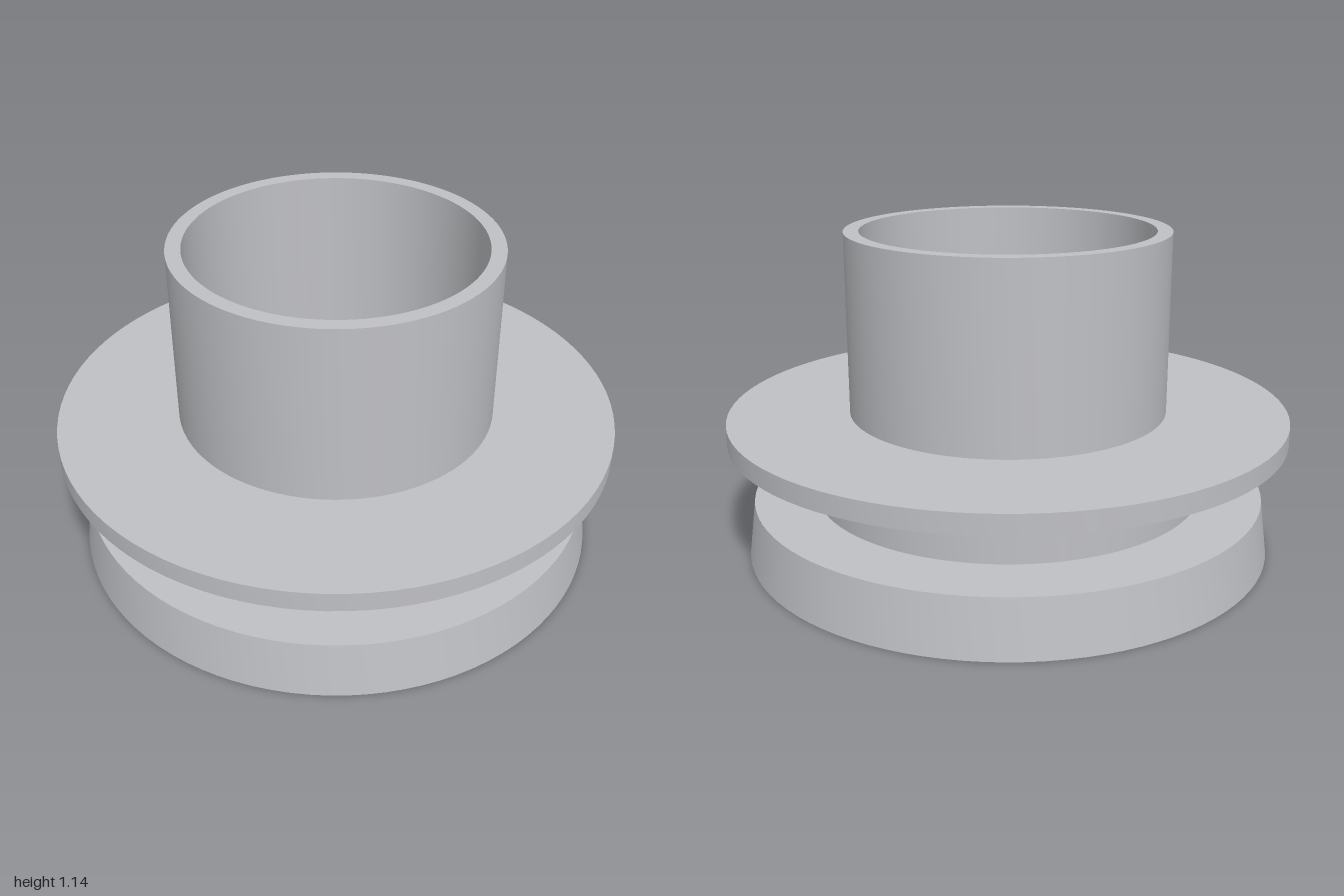
import * as THREE from 'three';
import { toCreasedNormals } from 'three/addons/utils/BufferGeometryUtils.js';

const SEGMENTS = 96;

// Revolves [radius, height] points, keeping the profile corners sharp
function turned(name, points, material) {
  const profile = points.map(([r, y]) => new THREE.Vector2(r, y));
  const geometry = toCreasedNormals(new THREE.LatheGeometry(profile, SEGMENTS), 0.6);
  const mesh = new THREE.Mesh(geometry, material);
  mesh.name = name;
  return mesh;
}

export function createModel() {
  const grey = new THREE.MeshStandardMaterial({ color: 0xbfc0c4 });
  grey.name = 'bodyGrey';
  const red = new THREE.MeshStandardMaterial({ color: 0xc67676 });
  red.name = 'padRed';

  const group = new THREE.Group();
  group.name = 'flangedSocket';
  group.add(
    // Inset pad under the base, with the mouth of the centre hole
    turned('basePad', [[0.2, 0.1], [0.2, 0], [0.917, 0]], red),
    // Tapered foot
    turned('base', [[0.917, 0], [0.947, 0], [0.92, 0.2], [0.7, 0.2]], grey),
    turned('neck', [[0.7, 0.2], [0.7, 0.43]], grey),
    // Wide thin disc
    turned('flange', [[0.7, 0.43], [1, 0.43], [1, 0.5], [0.57, 0.5]], grey),
    // Open tube with its inner wall and floor
    turned('socket', [[0.57, 0.5], [0.57, 1.145], [0.517, 1.145], [0.517, 0.5], [0.227, 0.5]], grey),
    // Stepped centre hole
    turned('bore', [[0.227, 0.5], [0.227, 0.43], [0.2, 0.43], [0.2, 0.1]], grey),
  );
  return group;
}
